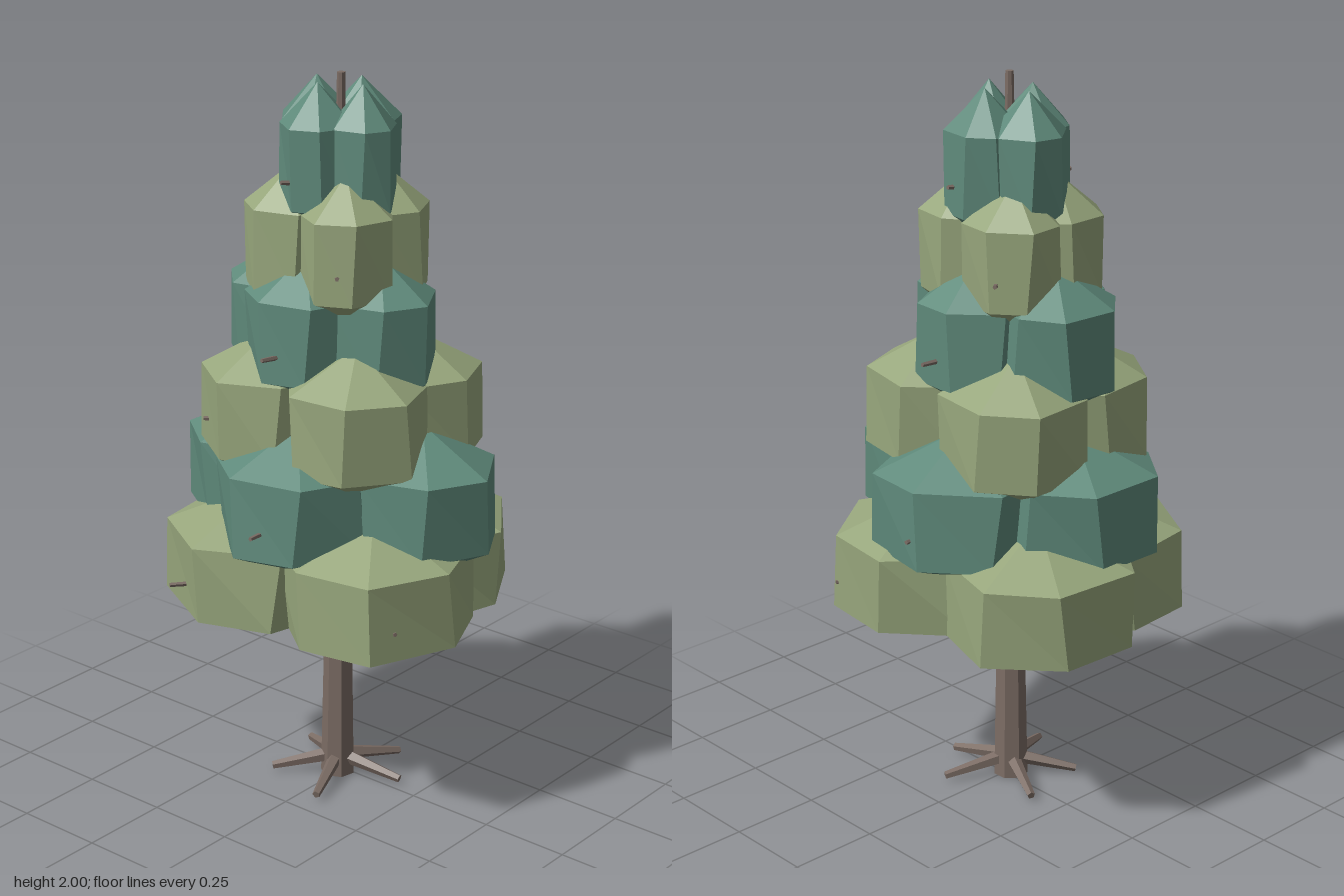
import * as THREE from 'three';

const paint = (color) => new THREE.MeshStandardMaterial({ color, flatShading: true });
const bark = paint(0x7b6c64);
const sage = paint(0x97a67c);
const teal = paint(0x5f8a7b);

const SIDES = 7, TIER_STEP = 0.22, FIRST_TIER = 0.66;

// leaf clumps per tier: [x, z, ring radius, angle of one corner in degrees]
const TIERS = [
  [[-0.235, -0.1, 0.257, 156], [0.12, -0.165, 0.267, 251], [0.202, 0.12, 0.263, 0], [-0.155, 0.15, 0.268, 42]],
  [[0.26, -0.01, 0.206, -3], [0.005, 0.193, 0.22, 52], [-0.025, -0.175, 0.235, 253], [-0.225, 0.035, 0.226, 154]],
  [[-0.15, -0.1, 0.197, 205], [0.145, -0.1, 0.194, 0], [-0.138, 0.127, 0.198, 45], [0.14, 0.115, 0.192, 8]],
  [[-0.03, 0.115, 0.16, 50], [0, -0.1, 0.157, 250], [-0.168, 0.02, 0.165, 160], [0.13, 0.01, 0.155, 0]],
  [[-0.105, 0.08, 0.13, 150], [0.075, 0.08, 0.127, 40], [0.08, -0.06, 0.125, 0], [-0.095, -0.058, 0.13, 205]],
  [[-0.09, 0, 0.103, 165], [0.01, -0.06, 0.103, 255], [0.08, 0.02, 0.09, 0], [-0.025, 0.075, 0.102, 95]],
];

// twig tips per tier: [x, z]
const TWIGS = [
  [[-0.265, 0.41], [0.395, 0.27], [0.245, -0.395]],
  [[0.04, 0.425], [-0.065, -0.41]],
  [[-0.255, 0.275], [0.25, 0.245], [0.23, -0.255]],
  [[-0.02, 0.305], [0, -0.29]],
  [[0.135, 0.19], [-0.155, -0.18], [-0.195, 0.11]],
  [[-0.05, 0.19], [0.03, -0.17]],
];

const ROOT_ANGLES = [-12, 70, 139, 204, 294];

const trunkAt = (y) => new THREE.Vector3(-0.008 + 0.016 * y, y, 0.015 + 0.012 * y);

// tapered round bar between two points
function limb(name, from, to, r0, r1, sides) {
  const dir = to.clone().sub(from);
  const mesh = new THREE.Mesh(new THREE.CylinderGeometry(r1, r0, dir.length(), sides), bark);
  mesh.position.copy(from).addScaledVector(dir, 0.5);
  mesh.quaternion.setFromUnitVectors(new THREE.Vector3(0, 1, 0), dir.normalize());
  mesh.name = name;
  return mesh;
}

// steep-sided faceted blob with pointed top and bottom; its two rings are unevenly spaced
function leafClump([x, z, radius, degrees], y, material, seed) {
  const geo = new THREE.SphereGeometry(1, SIDES, 3);
  const p = geo.attributes.position;
  for (let i = 0; i < p.count; i++) {
    const column = i % (SIDES + 1) % SIDES;
    const row = Math.floor(i / (SIDES + 1));
    const wave = column * 2.4 + seed * 1.7 + row * 1.3;
    const r = row % 3 ? radius * (1 + 0.035 * Math.sin(wave)) : 0;
    const a = THREE.MathUtils.degToRad(degrees + 4 * Math.cos(wave * 1.6)) - column / SIDES * Math.PI * 2;
    p.setXYZ(i, r * Math.cos(a), p.getY(i) * 0.213, r * Math.sin(a));
  }
  geo.computeVertexNormals();
  const mesh = new THREE.Mesh(geo, material);
  mesh.position.set(x, y, z);
  mesh.name = 'leafClump';
  return mesh;
}

export function createModel() {
  const tree = new THREE.Group();
  tree.name = 'tree';
  tree.add(limb('trunk', trunkAt(0), trunkAt(2), 0.048, 0.011, 7));

  // roots spreading over the ground
  const roots = new THREE.Group();
  roots.name = 'roots';
  for (const degrees of ROOT_ANGLES) {
    const a = THREE.MathUtils.degToRad(degrees);
    const tip = new THREE.Vector3(-0.002 + 0.187 * Math.cos(a), 0.018, 0.015 + 0.19 * Math.sin(a));
    roots.add(limb('root', trunkAt(0.055), tip, 0.022, 0.011, 5));
  }
  tree.add(roots);

  // foliage tiers with twigs poking through
  TIERS.forEach((clumps, t) => {
    const tier = new THREE.Group();
    tier.name = 'foliageTier' + (t + 1);
    const y = FIRST_TIER + TIER_STEP * t;
    clumps.forEach((c, i) => tier.add(leafClump(c, y, t % 2 ? teal : sage, t * 4 + i)));
    for (const [x, z] of TWIGS[t]) {
      tier.add(limb('twig', trunkAt(y - 0.05), new THREE.Vector3(x, y - 0.03, z), 0.012, 0.006, 5));
    }
    tree.add(tier);
  });
  return tree;
}
